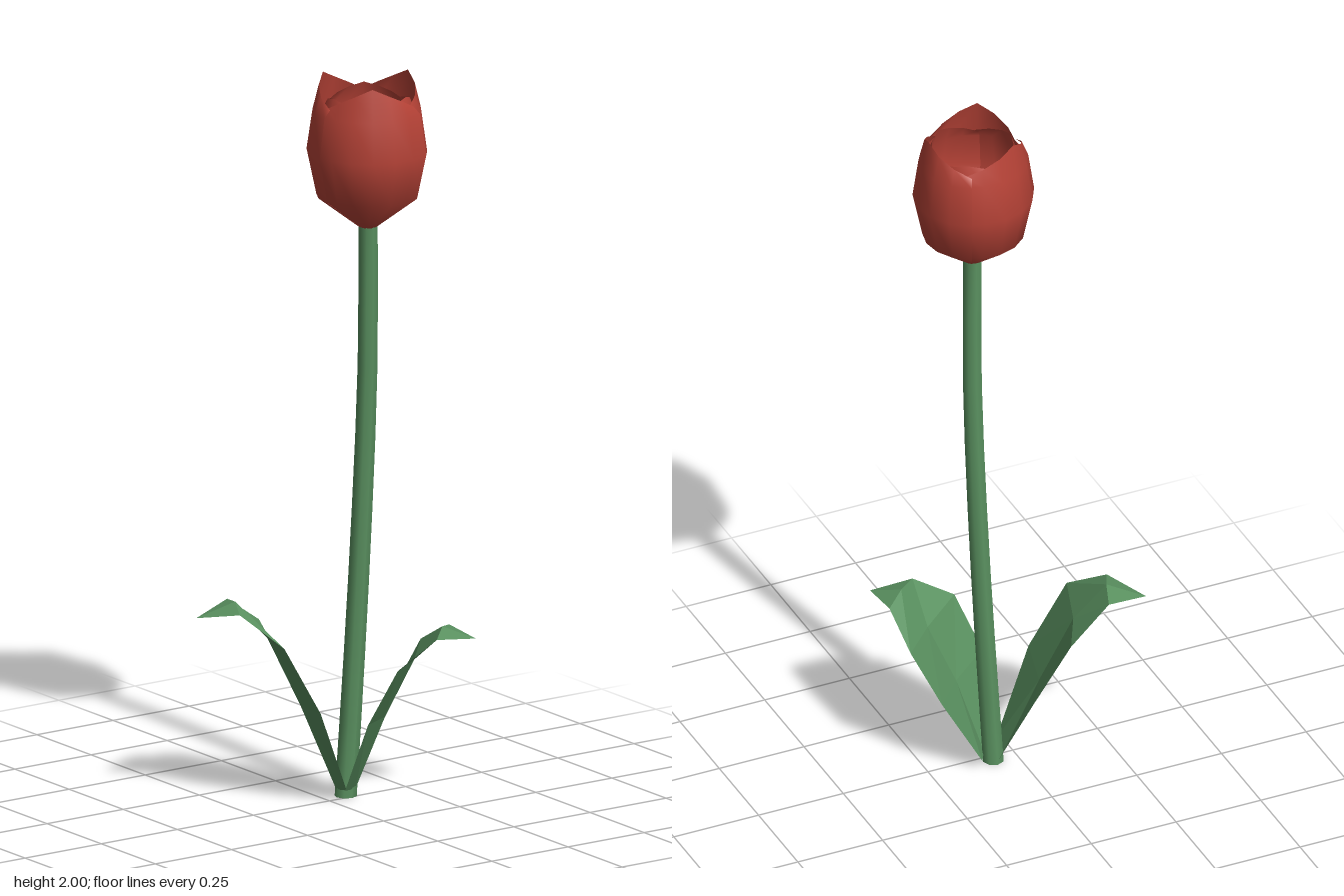
import * as THREE from 'three';

const green = new THREE.MeshStandardMaterial({ color: 0x5a9160, side: THREE.DoubleSide, flatShading: true });
green.name = 'leaf green';
const stemGreen = green.clone();
stemGreen.name = 'stem green';
stemGreen.flatShading = false;
const red = new THREE.MeshStandardMaterial({ color: 0xb84337, side: THREE.DoubleSide });
red.name = 'petal red';

function part(name, geometry, material) {
  const mesh = new THREE.Mesh(geometry, material);
  mesh.name = name;
  return mesh;
}

// Stem: a cylinder bent along a gentle curve
function makeStem() {
  const curve = new THREE.CatmullRomCurve3([
    [0.066, 0, -0.018], [0.085, 0.4, -0.004], [0.1, 0.8, 0.01],
    [0.108, 1.2, 0.024], [0.104, 1.605, 0.032],
  ].map((p) => new THREE.Vector3(...p)));
  const geo = new THREE.CylinderGeometry(0.026, 0.03, 1, 8, 8);
  const pos = geo.attributes.position;
  for (let i = 0; i < pos.count; i++) {
    const c = curve.getPoint(THREE.MathUtils.clamp(pos.getY(i) + 0.5, 0, 1));
    pos.setXYZ(i, c.x + pos.getX(i), c.y, c.z + pos.getZ(i));
  }
  geo.computeVertexNormals();
  return part('stem', geo, stemGreen);
}

// Petal: a plane wrapped round the flower axis, with a pointed top edge
function makePetal(name, angle, halfWidth, profile, drop) {
  const rows = profile.length - 1;
  const cols = 6;
  const geo = new THREE.PlaneGeometry(2, 1, cols, rows);
  const pos = geo.attributes.position;
  for (let i = 0; i < pos.count; i++) {
    const u = pos.getX(i);
    const row = Math.round((pos.getY(i) + 0.5) * rows);
    const [r, y] = profile[row];
    const a = angle + u * halfWidth;
    // one side tucks beneath the neighbouring petal
    const rr = r * (1 - 0.025 * u - (row === rows ? 0.03 * Math.abs(u) : 0));
    const yy = row === rows ? y - drop * Math.abs(u) : y;
    pos.setXYZ(i, rr * Math.cos(a), yy, rr * Math.sin(a));
  }
  geo.computeVertexNormals();
  return part(name, geo, red);
}

function makeFlower() {
  const flower = new THREE.Group();
  flower.name = 'flower';
  flower.position.set(0.103, 0, 0.032);
  const outer = [[0.02, 1.583], [0.137, 1.675], [0.163, 1.8], [0.147, 1.91], [0.132, 2.0]];
  const inner = [[0.014, 1.602], [0.118, 1.69], [0.147, 1.8], [0.13, 1.9], [0.112, 1.957]];
  for (let k = 0; k < 3; k++) {
    const a = (k * Math.PI * 2) / 3;
    flower.add(makePetal('outerPetal', a, 1.12, outer, 0.07));
    flower.add(makePetal('innerPetal', a + Math.PI / 3, 1.1, inner, 0.03));
  }
  return flower;
}

// Leaf: cross-sections of edge, midrib, edge, closing to a tip
function makeLeaf(name, sections, tip) {
  const points = sections.flat(2).concat(tip);
  const index = [];
  for (let r = 0; r < sections.length - 1; r++) {
    for (let c = 0; c < 2; c++) {
      const a = r * 3 + c;
      index.push(a, a + 1, a + 3, a + 1, a + 4, a + 3);
    }
  }
  const last = (sections.length - 1) * 3;
  const end = sections.length * 3;
  index.push(last, last + 1, end, last + 1, last + 2, end);
  const geo = new THREE.BufferGeometry();
  geo.setAttribute('position', new THREE.Float32BufferAttribute(points, 3));
  geo.setIndex(index);
  geo.computeVertexNormals();
  return part(name, geo, green);
}

export function createModel() {
  const model = new THREE.Group();
  model.name = 'flowerPlant';
  model.add(makeStem(), makeFlower());

  model.add(makeLeaf('tallLeaf', [
    [[0.075, 0.03, -0.07], [0.04, 0.02, -0.025], [0.035, 0.03, 0.03]],
    [[0.03, 0.27, -0.195], [-0.045, 0.255, -0.07], [-0.08, 0.27, 0.072]],
    [[-0.06, 0.46, -0.242], [-0.13, 0.45, -0.105], [-0.18, 0.46, 0.045]],
    [[-0.185, 0.543, -0.213], [-0.212, 0.556, -0.138], [-0.245, 0.538, -0.07]],
  ], [-0.31, 0.516, -0.18]));

  model.add(makeLeaf('shortLeaf', [
    [[0.03, 0.03, 0.03], [0.085, 0.02, 0.0], [0.115, 0.03, -0.055]],
    [[0.02, 0.24, 0.15], [0.138, 0.225, 0.062], [0.232, 0.24, -0.05]],
    [[0.075, 0.395, 0.21], [0.2, 0.385, 0.11], [0.305, 0.4, -0.008]],
    [[0.19, 0.467, 0.228], [0.25, 0.483, 0.17], [0.308, 0.468, 0.12]],
  ], [0.31, 0.455, 0.24]));

  return model;
}
